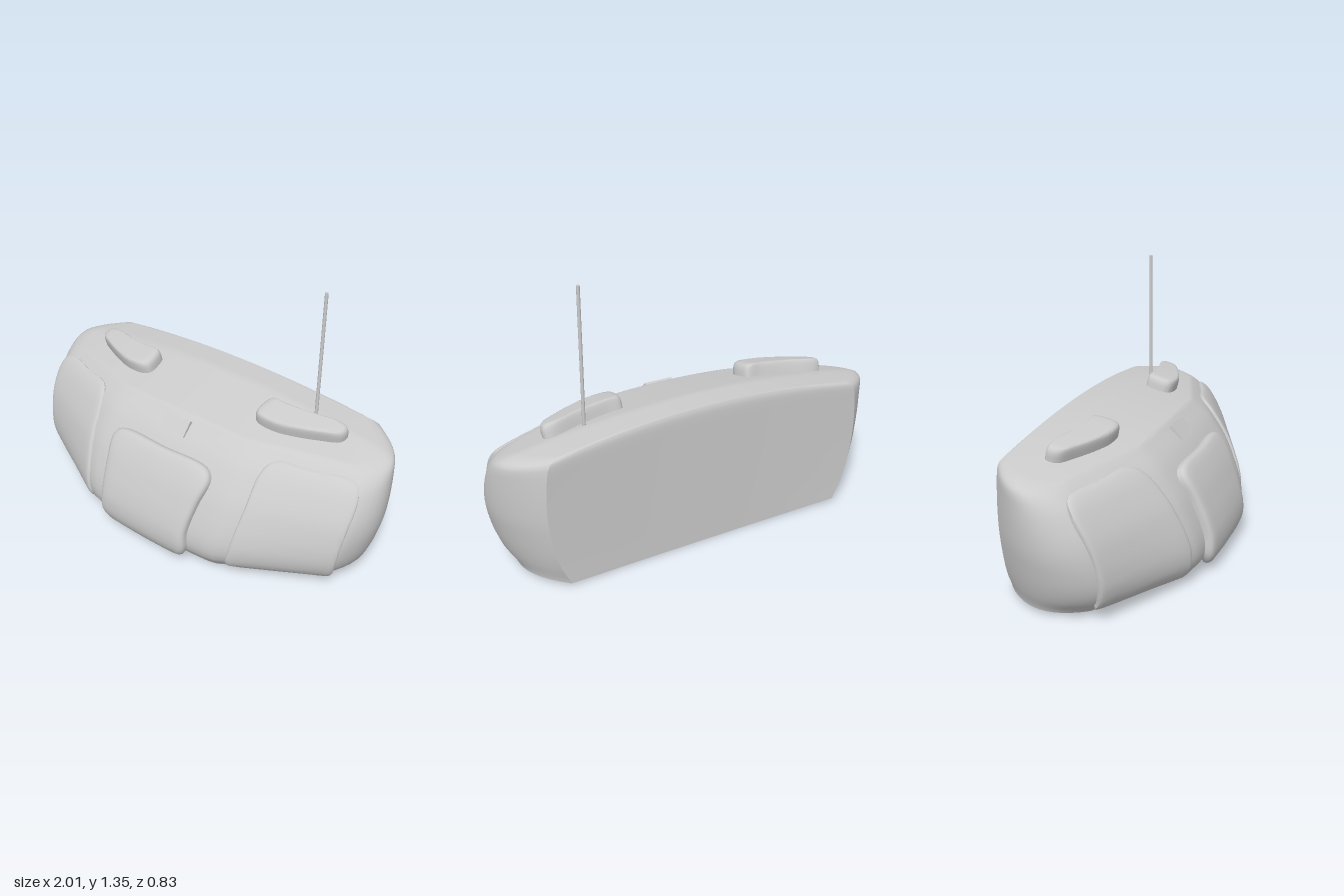
import * as THREE from 'three';
import { toCreasedNormals } from 'three/addons/utils/BufferGeometryUtils.js';

const material = new THREE.MeshStandardMaterial({ color: 0xcccccc });
const V = (x, y, z) => new THREE.Vector3(x, y, z);
const lerp = THREE.MathUtils.lerp;

// smooth lookup through evenly spaced values, for t from 0 to 1
function lookup(values) {
  const curve = new THREE.SplineCurve(values.map((v, i) => new THREE.Vector2(i, v)));
  return t => curve.getPoint(THREE.MathUtils.clamp(t, 0, 1)).y;
}
const RIM = 0.64;
const frontProfile = lookup([0.3, 0.36, 0.367, 0.348, 0.317, 0.28, 0.23, 0.17, 0.09]);
const widthProfile = lookup([0.885, 0.93, 0.96, 0.98, 0.995, 1, 0.998, 0.99, 0.975]);

// sweep of the front away from the centre
function sweep(x) {
  const a = Math.abs(x);
  return 0.018 * Math.min(1, a / 0.4) ** 2 + 0.53 * Math.max(0, a - 0.4);
}
const frontZ = (xn, t) => frontProfile(t) - sweep(xn) * (1 - 0.4 * t);
const topHeight = (x, z) => 0.725 - 0.1 * x * x - 0.23 * Math.max(0, z + 0.25);
const heightAt = (xn, t, zRim) => t * topHeight(xn * 0.975, zRim) + 0.02 * xn * xn * (1 - t);

// surfaces on which the panels and knobs lie
function frontSurface(x, y) {
  const t = y / RIM, xn = x / widthProfile(t);
  return V(x, heightAt(xn, t, frontZ(xn, 1)), frontZ(xn, t));
}
const topSurface = (x, b) => V(x, topHeight(x, -b), -b);

// skin over closed rings of equal length
function skin(rings, crease) {
  const n = rings[0].length, index = [];
  for (let r = 0; r < rings.length - 1; r++) {
    for (let i = 0; i < n; i++) {
      const j = (i + 1) % n, a = r * n + i, b = r * n + j;
      index.push(a, b, b + n, a, b + n, a + n);
    }
  }
  const geometry = new THREE.BufferGeometry().setFromPoints(rings.flat());
  geometry.setIndex(index);
  return toCreasedNormals(geometry, crease);
}

// one half of the plan outline: front, rounded side, back
function halfOutline(t) {
  const points = [];
  for (let i = 0; i <= 20; i++) points.push([0.92 * i / 20, frontZ(0.92 * i / 20, t)]);
  const zSide = frontZ(0.92, t);
  for (let i = 1; i <= 12; i++) {
    const v = i / 12;
    points.push([lerp(0.92, 0.83, v) + 0.5 * v * (1 - v), lerp(zSide, -0.42, v)]);
  }
  for (let i = 1; i <= 8; i++) {
    const x = 0.83 * (1 - i / 8);
    points.push([x, -0.4 - 0.02 * (x / 0.83) ** 2]);
  }
  return points;
}

function bodyGeometry() {
  const rim = halfOutline(1), middle = -0.15;
  const ring = (t, k, cap) => {
    const half = halfOutline(t).map(([xn, zn], i) => {
      const x = xn * widthProfile(t) * k, z = middle + (zn - middle) * k;
      return V(x, cap ? topHeight(x, z) : heightAt(xn * (t ? 1 : k), t, rim[i][1]), z);
    });
    const mirrored = half.slice(1, -1).reverse().map(p => V(-p.x, p.y, p.z));
    return [...half, ...mirrored];
  };
  const rings = [0, 0.5, 0.97].map(k => ring(0, k));
  for (const t of [0, 0.02, 0.05, 0.09, 0.14]) rings.push(ring(t, 1));
  for (let i = 0; i <= 14; i++) rings.push(ring(0.2 + 0.74 * i / 14, 1));
  rings.push(ring(0.965, 0.995), ring(0.985, 0.985), ring(1, 0.965));
  for (const k of [0.94, 0.9, 0.8, 0.7, 0.6, 0.5, 0.4, 0.3, 0.2, 0.1, 0]) rings.push(ring(1, k, true));
  return skin(rings, 0.6);
}

// raised pad with a rounded rim, following a surface
function padGeometry(surface, outline, height) {
  const curve = new THREE.CatmullRomCurve3(outline.map(([a, b]) => V(a, b, 0)), true, 'centripetal');
  const edge = curve.getPoints(80).slice(0, 80);
  if (THREE.ShapeUtils.area(edge) < 0) edge.reverse();
  const centre = edge.reduce((sum, p) => sum.add(p), V(0, 0, 0)).divideScalar(edge.length);
  const lifted = (a, b, h) => {
    const e = 0.004, p = surface(a, b);
    const du = surface(a + e, b).sub(surface(a - e, b));
    const dv = surface(a, b + e).sub(surface(a, b - e));
    return p.addScaledVector(du.cross(dv).normalize(), h);
  };
  const levels = [[1, -0.025], [1, height * 0.4], [0.985, height * 0.7], [0.955, height * 0.9], [0.91, height]];
  for (let k = 8; k >= 0; k--) levels.push([k / 10, height * 1.04]);
  return skin(levels.map(([k, h]) => edge.map(p =>
    lifted(lerp(centre.x, p.x, k), lerp(centre.y, p.y, k), h))), 0.8);
}

export function createModel() {
  const group = new THREE.Group();
  const add = (name, geometry) => {
    const mesh = new THREE.Mesh(geometry, material);
    mesh.name = name;
    group.add(mesh);
    return mesh;
  };

  add('body', bodyGeometry());

  // centre panel, with a waisted left edge
  add('centrePanel', padGeometry(frontSurface, [
    [-0.27, 0.5], [-0.305, 0.47], [-0.3, 0.36], [-0.29, 0.2], [-0.285, 0.09], [-0.24, 0.045],
    [0, 0.04], [0.2, 0.045], [0.24, 0.09], [0.245, 0.2], [0.27, 0.34], [0.295, 0.46], [0.26, 0.5], [0, 0.505],
  ], 0.04));

  // side panels share the outer edge, each has its own inner edge
  const outer = [[0.6, 0.035], [0.85, 0.045], [0.89, 0.1], [0.925, 0.3], [0.935, 0.54], [0.9, 0.595], [0.7, 0.6]];
  const inner = {
    rightPanel: [[0.52, 0.595], [0.48, 0.55], [0.45, 0.4], [0.42, 0.15], [0.425, 0.05]],
    leftPanel: [[0.53, 0.595], [0.5, 0.55], [0.49, 0.4], [0.46, 0.18], [0.445, 0.05]],
  };
  for (const [name, points] of Object.entries(inner)) {
    const side = name === 'leftPanel' ? 1 : -1;
    add(name, padGeometry(frontSurface, [...outer, ...points].map(([x, y]) => [side * x, y]), 0.015));
  }

  // top pads
  const pad = [[0.74, 0.225], [0.7, 0.235], [0.55, 0.2], [0.42, 0.18], [0.345, 0.175], [0.33, 0.14],
    [0.33, 0.065], [0.36, 0.045], [0.45, 0.045], [0.55, 0.075], [0.65, 0.12], [0.73, 0.165], [0.745, 0.195]];
  for (const side of [-1, 1]) {
    add(side > 0 ? 'leftTopPad' : 'rightTopPad',
      padGeometry(topSurface, pad.map(([x, b]) => [side * x, b]), 0.062));
  }

  // small button on the upper slope
  const button = add('button', new THREE.BoxGeometry(0.15, 0.085, 0.025));
  button.position.set(0, 0.6, 0.135);
  button.rotation.x = -0.75;

  // aerial
  const aerial = add('aerial', new THREE.CylinderGeometry(0.008, 0.008, 0.68, 12));
  aerial.position.set(0.56, 1.005, -0.23);

  return group;
}
